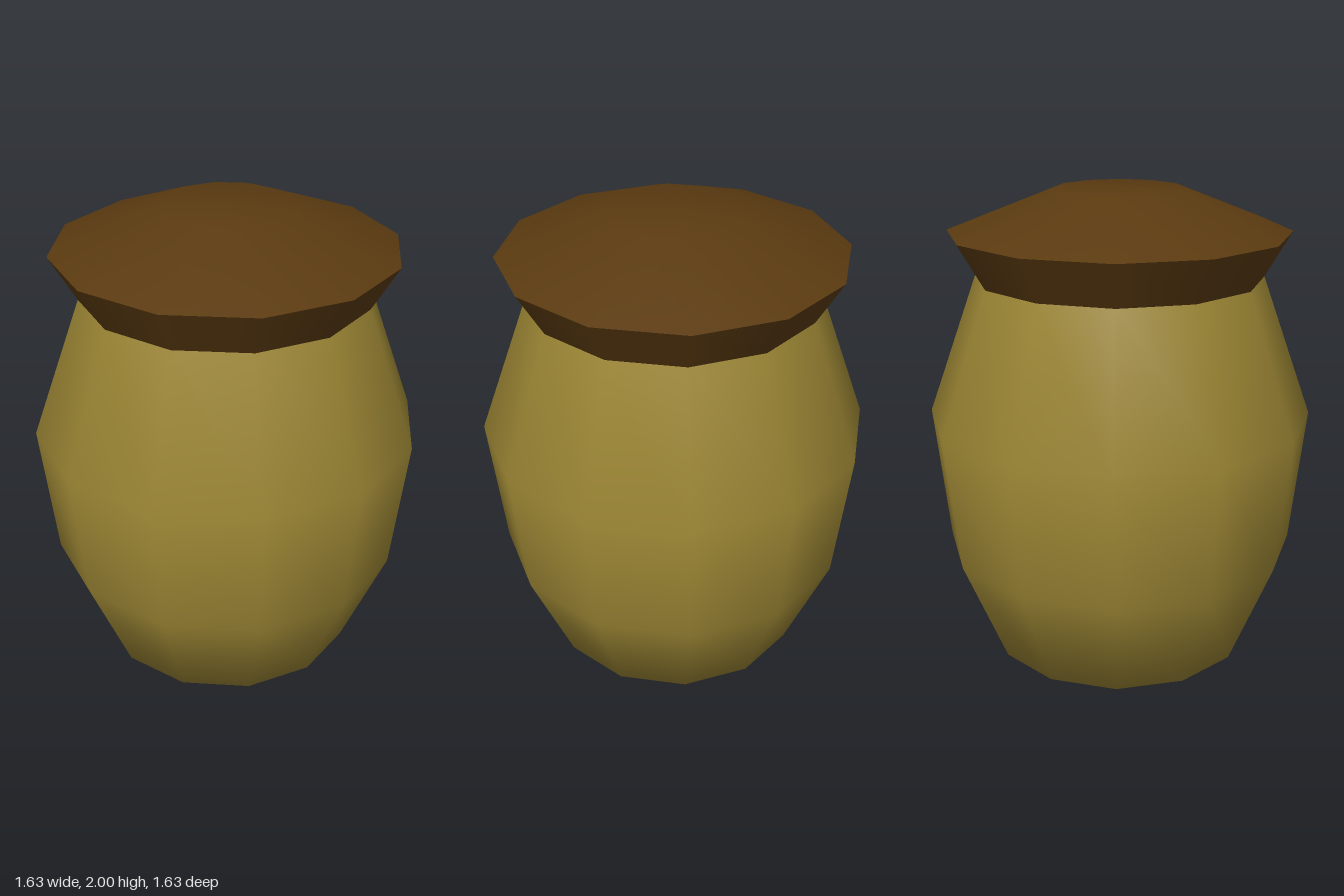
import * as THREE from 'three';

const SIDES = 12;

// Smooth-shaded 12-sided turned part from [radius, height] pairs, bottom to top
function turned(name, profile, material) {
  const points = profile.map(([r, y]) => new THREE.Vector2(r, y));
  const mesh = new THREE.Mesh(new THREE.LatheGeometry(points, SIDES), material);
  mesh.name = name;
  return mesh;
}

export function createModel() {
  const clay = new THREE.MeshStandardMaterial({ color: 0x9c8634 });
  clay.name = 'ochre clay';
  const wood = new THREE.MeshStandardMaterial({ color: 0x5a3a10 });
  wood.name = 'dark brown';

  const pot = new THREE.Group();
  pot.name = 'pot';

  // Body with its closed base, rounded over at the foot
  pot.add(turned('body', [[0, 0], [0.557, 0], [0.75, 0.46], [0.816, 1.04], [0.605, 1.635]], clay));

  // Lid: flared rim below, shallow dome with a flat top above, sharp edge between
  const lid = new THREE.Group();
  lid.name = 'lid';
  lid.add(turned('lidRim', [[0.605, 1.635], [0.717, 1.825]], wood));
  lid.add(turned('lidTop', [[0.717, 1.825], [0.272, 2], [0, 2]], wood));
  pot.add(lid);

  return pot;
}
